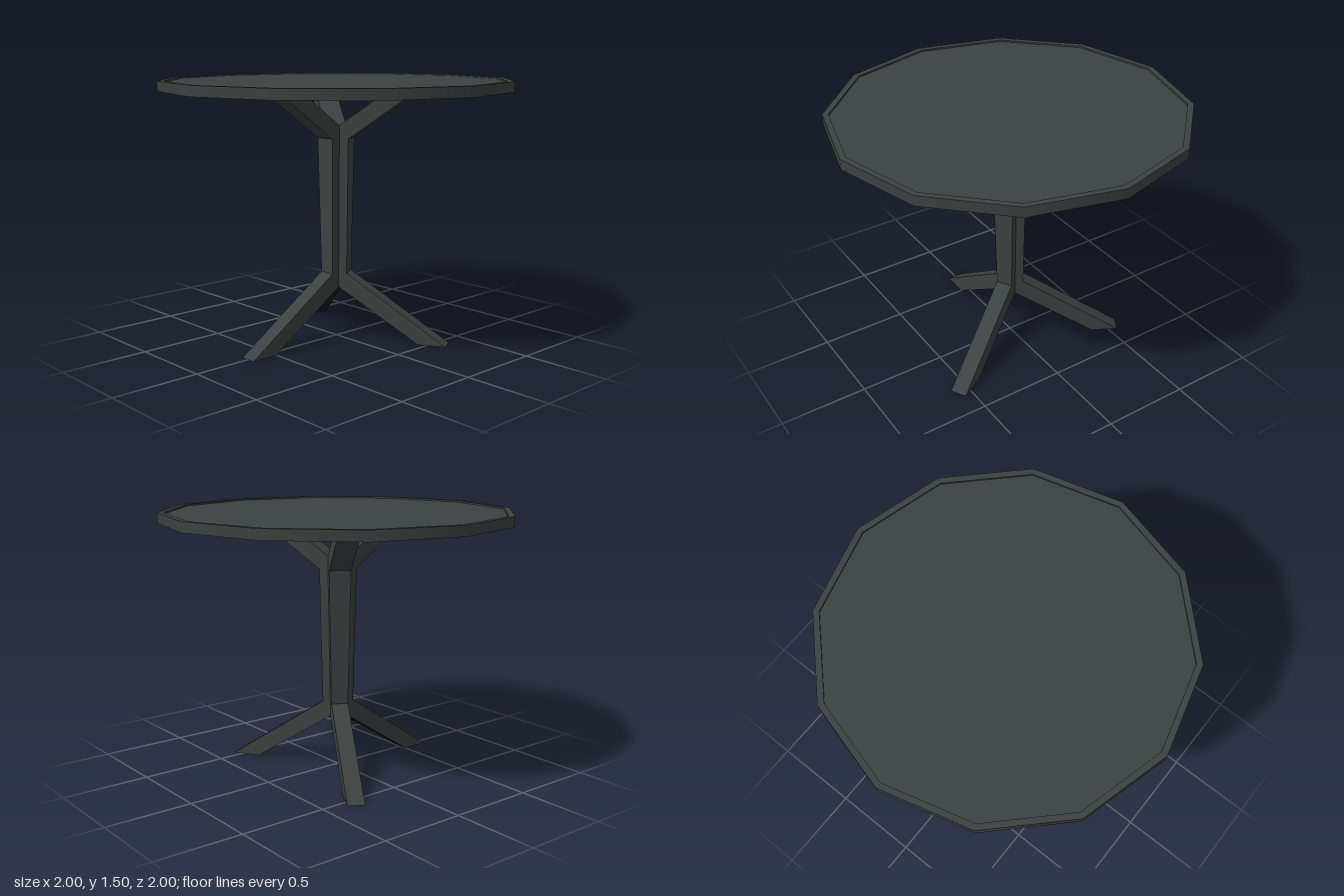
import * as THREE from 'three';

const HALF_TURN = Math.PI;

// Flat-shaded surface from a list of four-cornered faces
function quadGeometry(quads) {
  const pos = [];
  for (const [a, b, c, d] of quads) pos.push(...a, ...b, ...c, ...a, ...c, ...d);
  const geo = new THREE.BufferGeometry();
  geo.setAttribute('position', new THREE.Float32BufferAttribute(pos, 3));
  geo.computeVertexNormals();
  return geo;
}

// Cross-sections of one bent support: outer edge, inner edge, half width
const SECTIONS = [
  { out: [0.66, 0], inn: [0.5, 0], w: 0.048 },
  { out: [0.075, 0.39], inn: [0, 0.324], w: 0.048 },
  { out: [0.088, 1.17], inn: [0, 1.22], w: 0.062 },
  { out: [0.498, 1.46], inn: [0.338, 1.46], w: 0.062 },
];

function supportFaces() {
  const rings = SECTIONS.map(({ out, inn, w }) => [
    [...out, w], [...out, -w], [...inn, -w], [...inn, w],
  ]);
  const body = [], underside = [];
  for (let s = 0; s < rings.length - 1; s++) {
    for (let i = 0; i < 4; i++) {
      const j = (i + 1) % 4;
      const quad = [rings[s][i], rings[s][j], rings[s + 1][j], rings[s + 1][i]];
      (s === 0 && i === 2 ? underside : body).push(quad);
    }
  }
  const foot = rings[0], head = rings[rings.length - 1];
  body.push([foot[0], foot[3], foot[2], foot[1]], head);
  return { body: quadGeometry(body), underside: quadGeometry(underside) };
}

export function createModel() {
  const model = new THREE.Group();
  model.name = 'table';

  const charcoal = new THREE.MeshStandardMaterial({ color: 0x3c4241 });
  charcoal.name = 'charcoal';
  const darkGreen = new THREE.MeshStandardMaterial({ color: 0x081f1b });
  darkGreen.name = 'dark green';

  const add = (parent, name, geo, mat) => {
    const mesh = new THREE.Mesh(geo, mat);
    mesh.name = name;
    parent.add(mesh);
    return mesh;
  };

  // Twelve-sided top: raised rim around slightly recessed panels
  const top = new THREE.Group();
  top.name = 'tableTop';
  model.add(top);
  const profile = [
    ['lowerPanel', 0, 1.452], ['lowerLip', 0.965, 1.452], ['lowerRim', 0.965, 1.443],
    ['outerEdge', 1, 1.443], ['upperRim', 1, 1.5], ['upperLip', 0.965, 1.5],
    ['upperPanel', 0.965, 1.49], ['', 0, 1.49],
  ];
  for (let i = 0; i < profile.length - 1; i++) {
    const [name, r0, y0] = profile[i];
    const [, r1, y1] = profile[i + 1];
    const strip = [new THREE.Vector2(r0, y0), new THREE.Vector2(r1, y1)];
    add(top, name, new THREE.LatheGeometry(strip, 12), charcoal);
  }

  // Three bent supports: foot, column blade and arm in one piece
  const { body, underside } = supportFaces();
  [HALF_TURN, HALF_TURN / 3, -HALF_TURN / 3].forEach((angle) => {
    const support = new THREE.Group();
    support.name = 'support';
    support.rotation.y = angle;
    add(support, 'legColumnArm', body, charcoal);
    add(support, 'legUnderside', underside, darkGreen);
    model.add(support);
  });

  return model;
}
